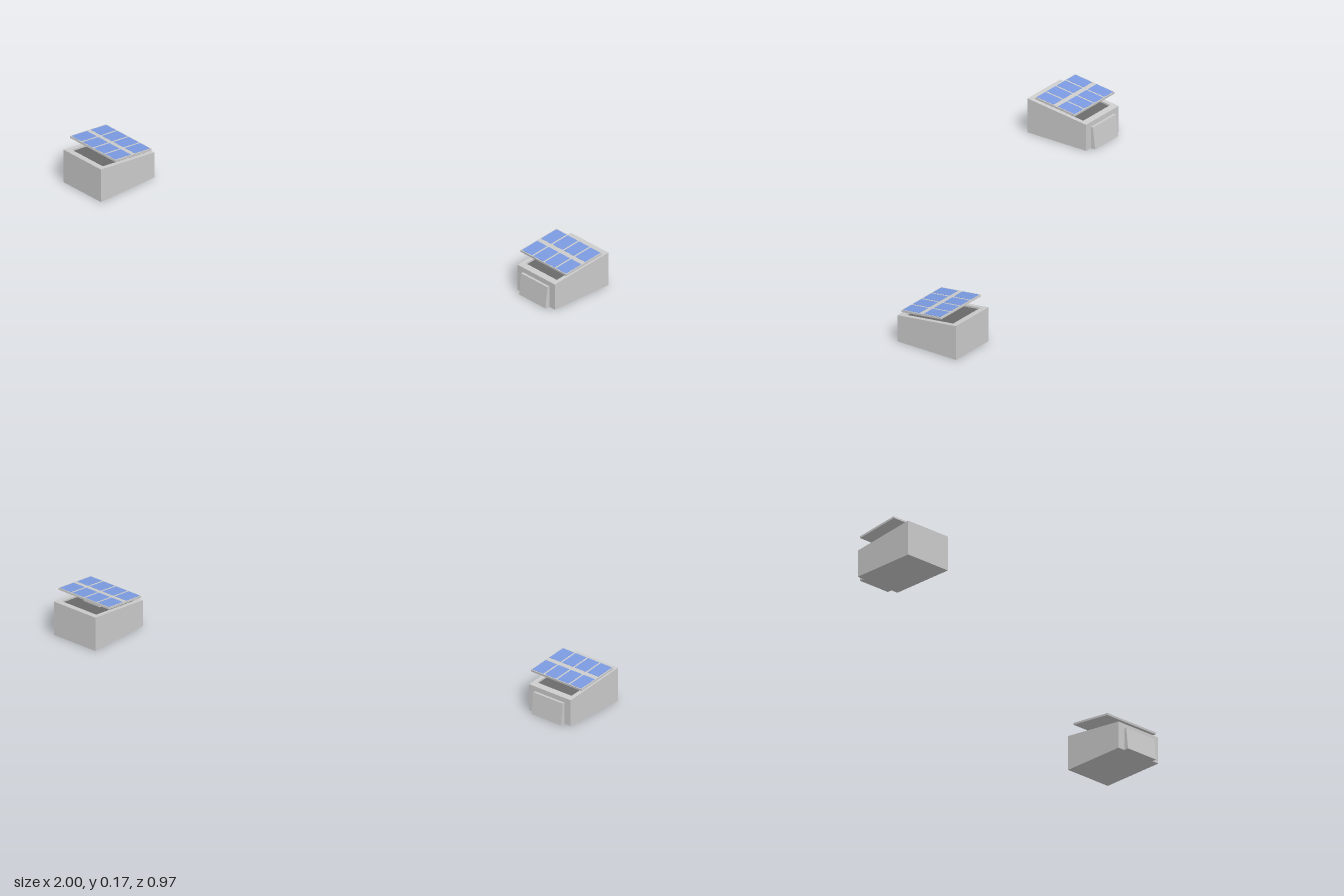
import * as THREE from 'three';

const grey = new THREE.MeshStandardMaterial({ color: 0xcccccc, flatShading: true });
const dark = new THREE.MeshStandardMaterial({ color: 0x6a6a6a, flatShading: true });
const blue = new THREE.MeshStandardMaterial({ color: 0x7a9ae0, flatShading: true });

const SLOPE = 0.117;   // roof rise per unit of depth
const MID_Z = -0.3465; // middle of the housing
const MID_Y = 0.124;   // roof height at the middle

// Height of the roof at a given depth
const roofY = (z) => MID_Y - SLOPE * (z - MID_Z);

function add(group, name, geometry, material) {
  const mesh = new THREE.Mesh(geometry, material);
  mesh.name = name;
  group.add(mesh);
  return mesh;
}

// Move every vertex by a rule that edits the vector in place
function reshape(geometry, rule) {
  const pos = geometry.attributes.position;
  const v = new THREE.Vector3();
  for (let i = 0; i < pos.count; i++) {
    rule(v.fromBufferAttribute(pos, i));
    pos.setXYZ(i, v.x, v.y, v.z);
  }
  geometry.computeVertexNormals();
  return geometry;
}

// Rectangle outline centred on x = 0
function rect(Type, width, z0, z1) {
  const w = width / 2;
  return new Type().setFromPoints([
    new THREE.Vector2(-w, -z0), new THREE.Vector2(w, -z0),
    new THREE.Vector2(w, -z1), new THREE.Vector2(-w, -z1),
  ]);
}

function createUnit() {
  const unit = new THREE.Group();
  const rim = 0.009;

  // Housing with a sloping top, lowered to leave room for the rim
  const body = new THREE.BoxGeometry(0.205, 1, 0.273).translate(0, 0.5, MID_Z);
  add(unit, 'housing', reshape(body, (v) => {
    if (v.y > 0.5) v.y = roofY(v.z) - rim;
  }), grey);

  // Raised rim around the roof recess
  const outline = rect(THREE.Shape, 0.205, -0.21, -0.483);
  outline.holes.push(rect(THREE.Path, 0.17, -0.236, -0.457));
  const rimGeo = new THREE.ExtrudeGeometry(outline, { depth: rim, bevelEnabled: false });
  rimGeo.rotateX(-Math.PI / 2);
  add(unit, 'roofRim', reshape(rimGeo, (v) => { v.y += roofY(v.z) - rim; }), grey);

  // Dark floor of the recess
  const floor = new THREE.BoxGeometry(0.17, 0.002, 0.221).translate(0, 0, MID_Z);
  add(unit, 'recessFloor', reshape(floor, (v) => { v.y += roofY(v.z) - rim + 0.001; }), dark);

  // Door that leans back at the front
  const door = new THREE.BoxGeometry(0.145, 0.088, 0.02).translate(0, 0.044, -0.2);
  add(unit, 'frontDoor', reshape(door, (v) => {
    if (v.y > 0.05 && v.z > -0.2) v.z = -0.2;
  }), grey);

  // Block that carries the panel
  const mount = new THREE.BoxGeometry(0.08, 0.034, 0.08).translate(0, 0.013, -0.345);
  add(unit, 'panelMount', reshape(mount, (v) => { v.y += roofY(v.z); }), grey);

  // Tilted solar panel with two rows of four cells
  const panel = new THREE.Group();
  panel.name = 'solarPanel';
  panel.position.set(0, 0.1545, -0.338);
  panel.rotation.x = Math.atan(SLOPE);
  add(panel, 'panelFrame', new THREE.BoxGeometry(0.25, 0.008, 0.185), grey);
  for (let row = -1; row <= 1; row += 2) {
    for (let col = 0; col < 4; col++) {
      const cell = add(panel, 'solarCell', new THREE.BoxGeometry(0.0545, 0.002, 0.0785), blue);
      cell.position.set((col - 1.5) * 0.0625, 0.0037, row * 0.0495);
    }
  }
  unit.add(panel);
  return unit;
}

export function createModel() {
  const model = new THREE.Group();
  // Two matching units, placed back to back in opposite corners
  ['leftUnit', 'rightUnit'].forEach((name, i) => {
    const corner = new THREE.Group();
    corner.name = name;
    corner.rotation.y = i * Math.PI;
    const unit = createUnit();
    unit.name = 'solarBox';
    unit.position.x = 0.875;
    corner.add(unit);
    model.add(corner);
  });
  return model;
}
